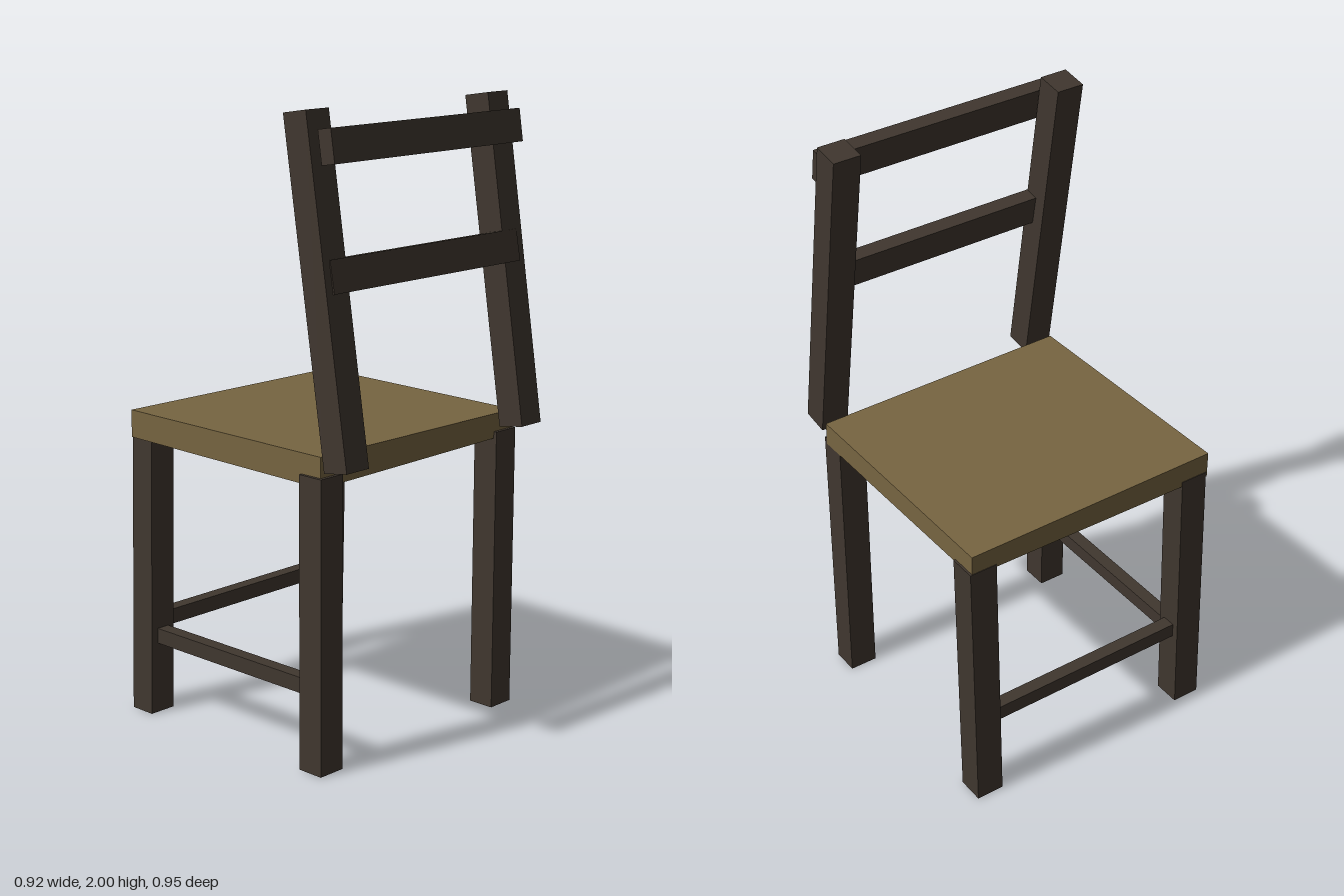
import * as THREE from 'three';

export function createModel() {
  const chair = new THREE.Group();
  chair.name = 'chair';

  const darkWood = new THREE.MeshStandardMaterial({ color: 0x40372f });
  darkWood.name = 'dark wood';
  const seatWood = new THREE.MeshStandardMaterial({ color: 0x776541 });
  seatWood.name = 'seat wood';

  function add(name, geometry, material, x = 0, y = 0, z = 0, tilt = 0) {
    const mesh = new THREE.Mesh(geometry, material);
    mesh.name = name;
    mesh.position.set(x, y, z);
    mesh.rotation.x = tilt;
    chair.add(mesh);
    return mesh;
  }
  const box = (w, h, d) => new THREE.BoxGeometry(w, h, d);

  // Legs: straight at the backrest, slightly leaning sideways at the other end
  const legHeight = 0.93;
  function leg(name, xTop, xBottom, z) {
    const geometry = box(0.094, legHeight, 0.09);
    const lean = new THREE.Matrix4().makeShear((0), 0, (xTop - xBottom) / legHeight, 0, 0, 0);
    geometry.applyMatrix4(lean);
    geometry.computeVertexNormals();
    add(name, geometry, darkWood, (xTop + xBottom) / 2, legHeight / 2, z);
  }
  leg('backLegRight', -0.403, -0.405, 0.329);
  leg('backLegLeft', 0.398, 0.396, 0.329);
  leg('frontLegRight', -0.39, -0.413, -0.43);
  leg('frontLegLeft', 0.409, 0.389, -0.43);

  // Rungs on two sides only
  add('frontRung', box(0.78, 0.05, 0.045), darkWood, -0.01, 0.3, -0.43);
  add('sideRung', box(0.045, 0.05, 0.74), darkWood, -0.405, 0.26, -0.05);

  // Seat: a slightly uneven, hand-cut slab
  const seat = box(0.888, 0.09, 0.836);
  const p = seat.attributes.position;
  for (let i = 0; i < p.count; i++) {
    const sx = Math.sign(p.getX(i)), sz = Math.sign(p.getZ(i));
    const top = p.getY(i) > 0;
    const y = top ? 0.994 - 0.003 * sx - 0.003 * sz : 0.91 + 0.005 * sx - 0.006 * sz;
    p.setXYZ(i, 0.003 + sx * (0.444 - 0.002 * sz), y, -0.055 + sz * 0.418);
  }
  seat.computeVertexNormals();
  add('seat', seat, seatWood);

  // Backrest: leaning posts with two cross rails
  const tilt = -0.155;
  for (const [side, x] of [['Right', -0.4], ['Left', 0.4]]) {
    add('backPost' + side, box(0.094, 1.048, 0.092), darkWood, x, 1.475, 0.349, tilt);
  }
  add('topRail', box(0.84, 0.103, 0.052), darkWood, 0, 1.897, 0.368, tilt);
  add('lowerRail', box(0.84, 0.1, 0.05), darkWood, 0, 1.522, 0.367, tilt - 0.025);

  return chair;
}
